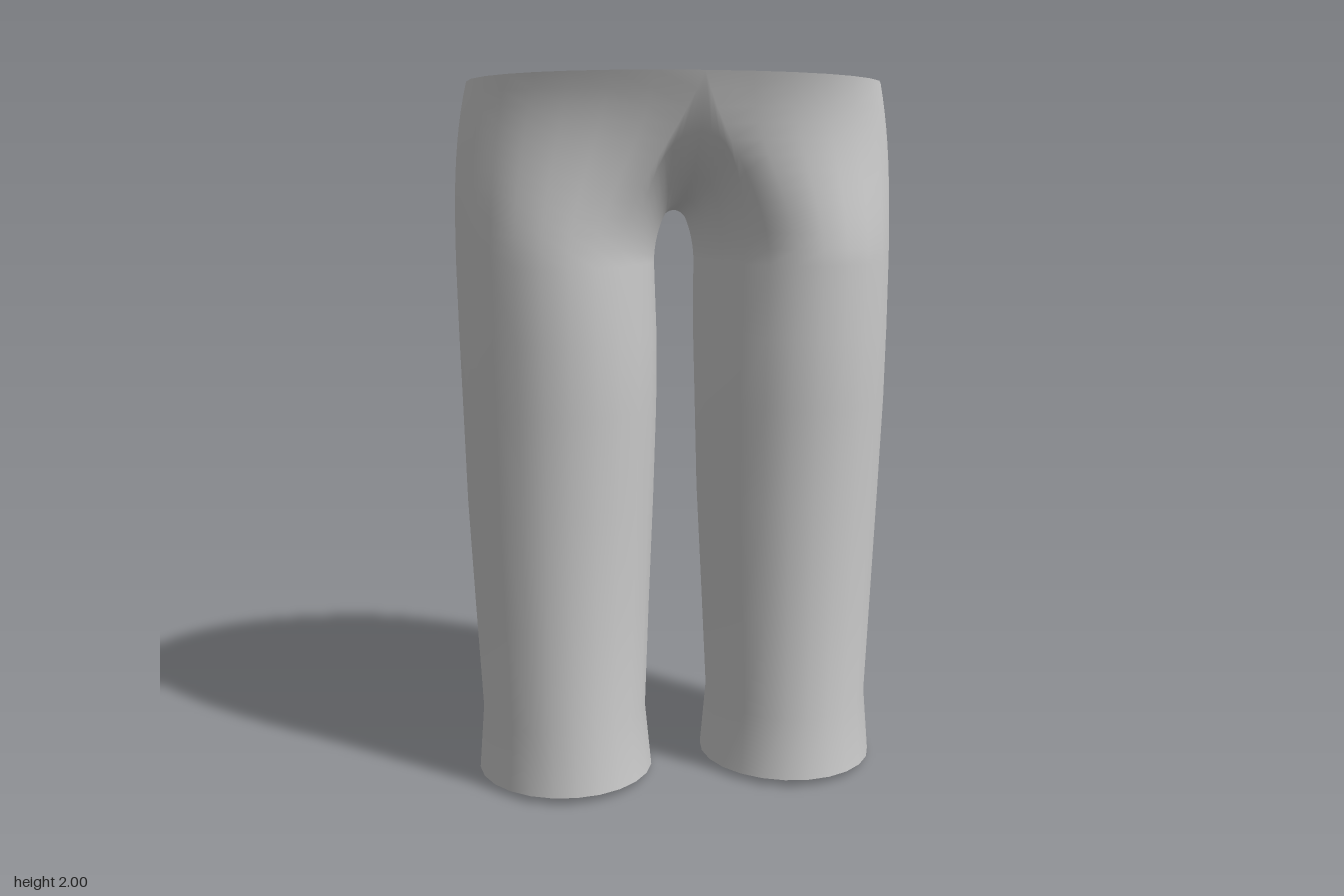
import * as THREE from 'three';
import { mergeVertices } from 'three/addons/utils/BufferGeometryUtils.js';

const SIDES = 24, CORNER = 8, RISE = 12;
const V = (x, y, z) => new THREE.Vector3(x, y, z);

// Leg cross-sections: height, inner x, outer x, back z, front z
const LEG = [
  [0.01, 0.08, 0.59, -0.26, 0.315],
  [0.2, 0.098, 0.575, -0.25, 0.3],
  [0.5, 0.085, 0.59, -0.265, 0.302],
  [0.82, 0.07, 0.605, -0.283, 0.31],
  [1.1, 0.062, 0.612, -0.29, 0.335],
  [1.3, 0.06, 0.617, -0.325, 0.35],
  [1.5, 0.065, 0.62, -0.362, 0.355],
];

// Centre seam from the front of the waist, under the crotch, to the back
const SEAM = new THREE.CatmullRomCurve3([
  [2, 0.437], [1.9, 0.41], [1.8, 0.355], [1.72, 0.25], [1.66, 0.1], [1.64, 0],
  [1.66, -0.13], [1.72, -0.3], [1.79, -0.41], [1.87, -0.435], [1.98, -0.412],
].map(([y, z]) => V(0, y, z)));

const signedPow = (v, e) => Math.sign(v) * Math.abs(v) ** e;

function legLoop([y, x0, x1, z0, z1], row) {
  return Array.from({ length: SIDES }, (_, i) => {
    const a = (i / SIDES) * Math.PI * 2;
    const s = Math.sin(a);
    const tilt = row === 0 ? 0.01 * s : 0;
    return V((x0 + x1) / 2 + ((x1 - x0) / 2) * Math.cos(a), y + tilt, (z0 + z1) / 2 + ((z1 - z0) / 2) * s);
  });
}

// Where each line of the leg ends: on the waist rim or on the centre seam
function hipEnd(i, start) {
  const k = i > SIDES / 2 ? i - SIDES : i; // signed index, 0 = outer side
  if (Math.abs(k) <= CORNER) {
    const a = (k / CORNER) * Math.PI / 2;
    const c = Math.abs(k) === CORNER ? 0 : Math.cos(a), s = Math.sin(a);
    const end = V(0.58 * signedPow(c, 0.93), 1.99 + 0.01 * s, 0.012 + 0.425 * signedPow(s, 0.93));
    const d = end.distanceTo(start);
    const side = Math.abs(k) === CORNER ? -0.2 : -0.12 * c;
    return { end, tangent: V(side, d, (s > 0 ? 0.22 : 0.15) * Math.abs(s)) };
  }
  const end = SEAM.getPointAt((i - CORNER) / (SIDES - 2 * CORNER));
  end.x = 0;
  return { end, tangent: V(-0.85 * end.distanceTo(start), 0, 0) };
}

function hermite(p, m, q, n, u) {
  const u2 = u * u, u3 = u2 * u;
  return V(0, 0, 0)
    .addScaledVector(p, 2 * u3 - 3 * u2 + 1)
    .addScaledVector(m, u3 - 2 * u2 + u)
    .addScaledVector(q, 3 * u2 - 2 * u3)
    .addScaledVector(n, u3 - u2);
}

function trousersGeometry() {
  const rows = LEG.map(legLoop);

  // Hip: each line curves from the leg into the rim or seam
  const base = rows[rows.length - 1];
  const ends = base.map((p, i) => hipEnd(i, p));
  for (let r = 1; r <= RISE; r++) {
    rows.push(base.map((p, i) => {
      const { end, tangent } = ends[i];
      const s = Math.sin((i / SIDES) * Math.PI * 2);
      const lift = V(0, end.distanceTo(p), s < 0 ? 0.09 * s : 0);
      return hermite(p, lift, end, tangent, r / RISE);
    }));
  }

  // Left half and its mirror image, welded along the seam
  const pos = [];
  const tri = (a, b, c) => {
    for (const p of [a, b, c]) pos.push(p.x, p.y, p.z);
    for (const p of [a, c, b]) pos.push(-p.x, p.y, p.z);
  };
  for (let r = 0; r < rows.length - 1; r++) {
    for (let i = 0; i < SIDES; i++) {
      const j = (i + 1) % SIDES;
      tri(rows[r][i], rows[r + 1][i], rows[r][j]);
      tri(rows[r][j], rows[r + 1][i], rows[r + 1][j]);
    }
  }
  const soup = new THREE.BufferGeometry();
  soup.setAttribute('position', new THREE.Float32BufferAttribute(pos, 3));
  const geometry = mergeVertices(soup, 1e-4);
  geometry.computeVertexNormals();
  return geometry;
}

export function createModel() {
  const group = new THREE.Group();
  group.name = 'trousers';
  const material = new THREE.MeshStandardMaterial({ color: 0xcccccc, side: THREE.DoubleSide });
  const cloth = new THREE.Mesh(trousersGeometry(), material);
  cloth.name = 'trouserCloth';
  group.add(cloth);
  return group;
}
